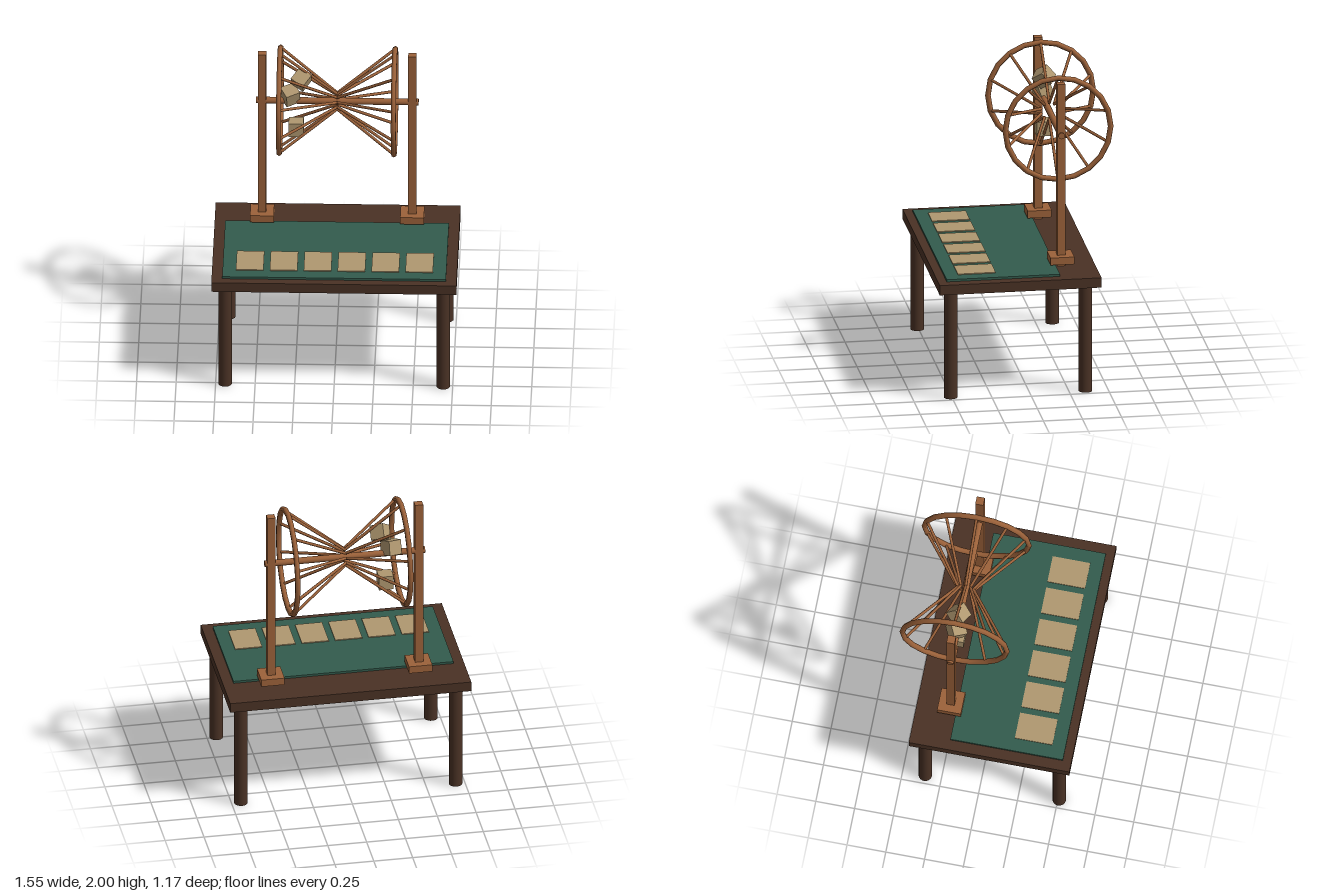
import * as THREE from 'three';

const mat = (color) => new THREE.MeshStandardMaterial({ color });

export function createModel() {
  const model = new THREE.Group();
  const darkWood = mat(0x4a3225), wood = mat(0x9c623a);
  const cloth = mat(0x335c4d), tan = mat(0xb09870);

  const add = (name, geometry, material, x, y, z, parent = model) => {
    const mesh = new THREE.Mesh(geometry, material);
    mesh.name = name;
    mesh.position.set(x, y, z);
    parent.add(mesh);
    return mesh;
  };
  const box = (w, h, d) => new THREE.BoxGeometry(w, h, d);

  // Table
  add('tableTop', box(1.55, 0.065, 1.035), darkWood, 0, 0.743, 0.0725);
  const leg = new THREE.CylinderGeometry(0.043, 0.043, 0.712, 20);
  for (const x of [-0.69, 0.69])
    for (const z of [-0.355, 0.508]) add('tableLeg', leg, darkWood, x, 0.356, z);

  // Cloth layout with six betting panels
  add('feltCloth', box(1.415, 0.015, 0.725), cloth, 0, 0.7825, 0.1725);
  for (let i = 0; i < 6; i++)
    add('bettingPanel', box(0.174, 0.008, 0.242), tan, (i - 2.5) * 0.2145, 0.792, 0.33);

  // Uprights and their feet
  const axisY = 1.645, axisZ = -0.23;
  for (const x of [-0.475, 0.475]) {
    add('post', box(0.052, 1.21, 0.052), wood, x, 1.38, axisZ);
    add('postFoot', box(0.15, 0.048, 0.153), wood, x, 0.823, axisZ);
  }

  // Hourglass cage turning on the axle
  const cage = new THREE.Group();
  cage.name = 'cage';
  cage.position.set(0, axisY, axisZ);
  model.add(cage);
  const axle = add('axle', new THREE.CylinderGeometry(0.021, 0.021, 1.03, 12), wood, 0, 0, 0, cage);
  axle.rotation.z = Math.PI / 2;

  const ringR = 0.337, ringX = 0.363, waistR = 0.052;
  const spoke = new THREE.CylinderGeometry(0.0095, 0.0095, Math.hypot(ringX, ringR - waistR), 8);
  const up = new THREE.Vector3(0, 1, 0);
  for (const side of [-1, 1]) {
    const ring = add('cageRing', new THREE.TorusGeometry(ringR, 0.018, 6, 20), wood, side * ringX, 0, 0, cage);
    ring.rotation.y = Math.PI / 2;
    for (let i = 0; i < 10; i++) {
      const a = (i / 10) * Math.PI * 2;
      const c = Math.cos(a), s = Math.sin(a);
      const inner = new THREE.Vector3(0, c * waistR, s * waistR);
      const outer = new THREE.Vector3(side * ringX, c * ringR, s * ringR);
      const mid = inner.clone().add(outer).multiplyScalar(0.5);
      const rod = add('cageSpoke', spoke, wood, mid.x, mid.y, mid.z, cage);
      rod.quaternion.setFromUnitVectors(up, outer.sub(inner).normalize());
    }
  }

  // Tumbling dice, each turned further than the last
  const dice = [[-0.26, 1.452], [-0.298, 1.685], [-0.228, 1.797]];
  dice.forEach(([x, y], i) => {
    add('die', box(0.094, 0.094, 0.094), tan, x, y, axisZ).rotation.set(i * 0.35, i * 0.48, 0);
  });

  return model;
}
